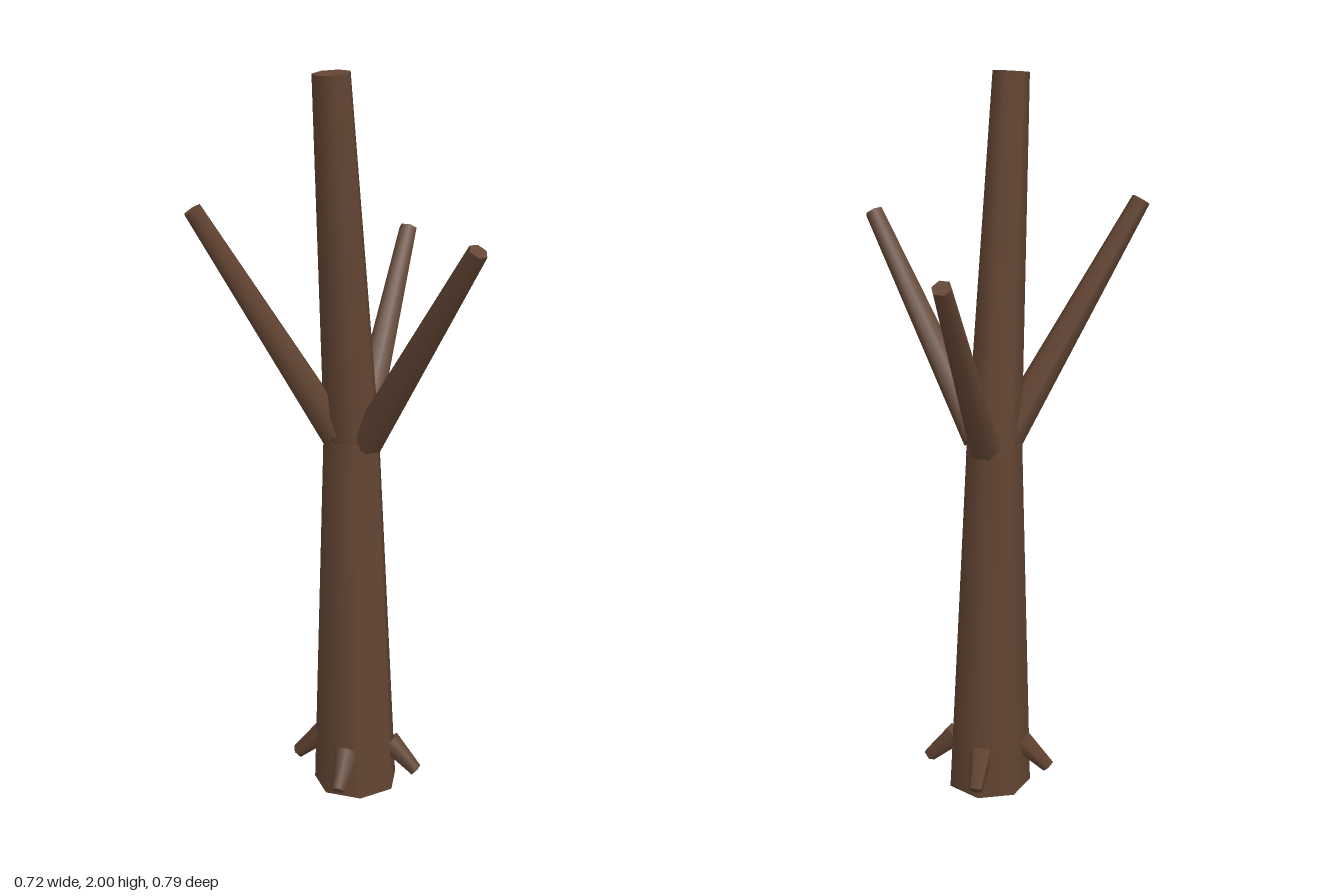
import * as THREE from 'three';

const UP = new THREE.Vector3(0, 1, 0);

export function createModel() {
  const tree = new THREE.Group();
  tree.name = 'bareTree';
  const bark = new THREE.MeshStandardMaterial({ color: 0x634533 });
  bark.name = 'bark';

  // Tapered limb running from one point to another
  function limb(name, from, to, r0, r1, sides) {
    const a = new THREE.Vector3(...from);
    const dir = new THREE.Vector3(...to).sub(a);
    const length = dir.length();
    const geometry = new THREE.CylinderGeometry(r1, r0, length, sides);
    geometry.translate(0, length / 2, 0);
    const mesh = new THREE.Mesh(geometry, bark);
    mesh.name = name;
    mesh.position.copy(a);
    mesh.quaternion.setFromUnitVectors(UP, dir.normalize());
    tree.add(mesh);
  }

  // Trunk: two leaning segments
  limb('lowerTrunk', [0.09, 0.003, 0.022], [0.074, 1.03, 0.004], 0.12, 0.078, 7);
  limb('upperTrunk', [0.077, 1.0, 0.0], [0.011, 1.998, 0.071], 0.078, 0.05, 7);

  // Three branches fanning out from the joint
  limb('leftwardBranch', [0.035, 1.04, 0.01], [-0.34, 1.662, 0.054], 0.048, 0.026, 6);
  limb('frontBranch', [0.108, 1.03, 0.042], [0.336, 1.604, 0.372], 0.046, 0.026, 6);
  limb('backBranch', [0.107, 1.03, -0.046], [0.27, 1.534, -0.378], 0.046, 0.026, 6);

  // Four short roots around the foot of the trunk
  for (let i = 0; i < 4; i++) {
    const angle = 0.4 + (i * Math.PI) / 2;
    const at = (d, y) => [0.09 + d * Math.cos(angle), y, 0.022 + d * Math.sin(angle)];
    limb('root' + (i + 1), at(0.095, 0.138), at(0.176, 0.059), 0.034, 0.02, 5);
  }
  return tree;
}
